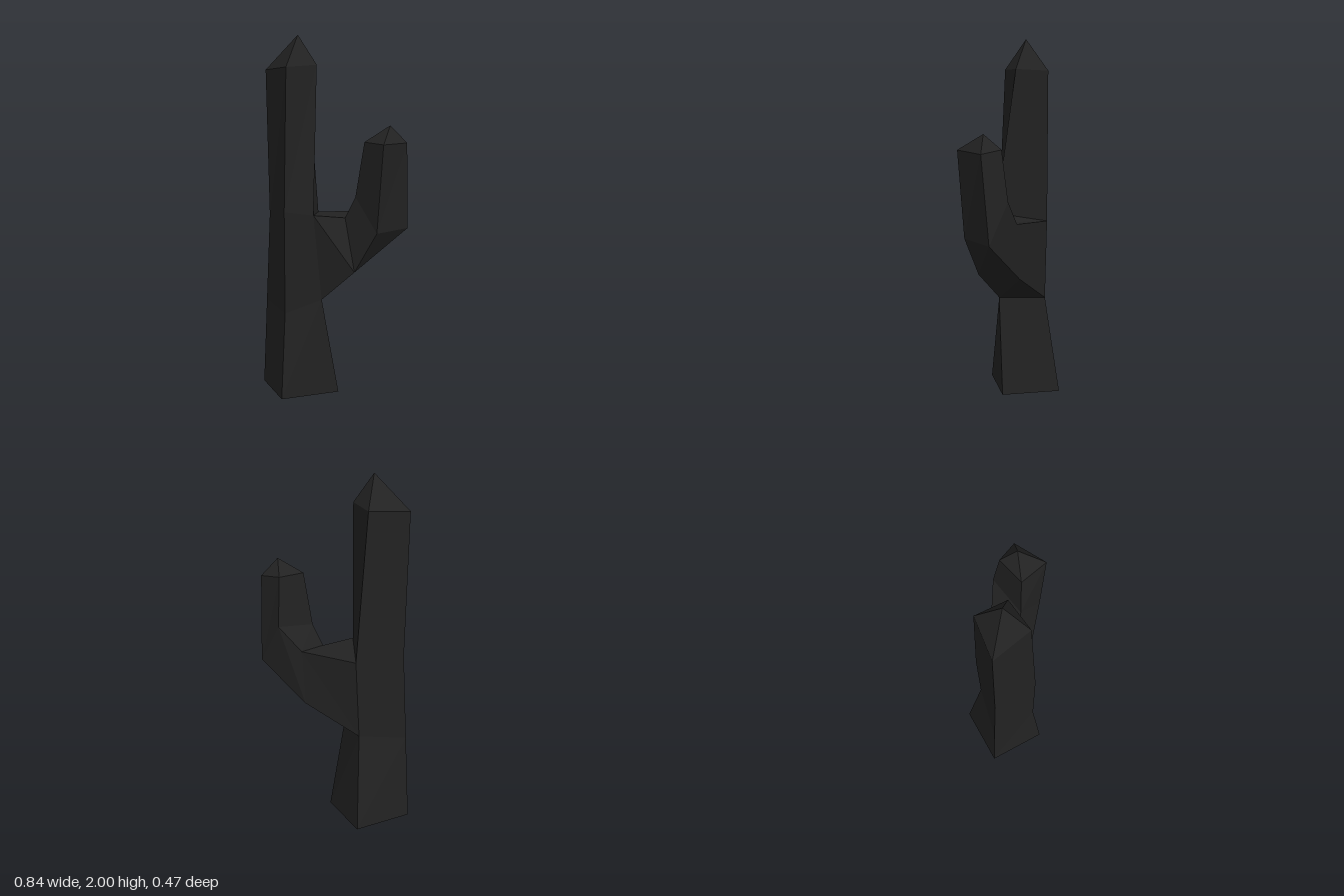
import * as THREE from 'three';

// Skin a list of four-cornered rings (left, front, right, back) into flat faces.
// skip(level, side) leaves a quad open; apex closes the tip with a pyramid.
function skinRings(rings, apex, skip = () => false) {
  const pos = [];
  const tri = (...pts) => pts.forEach((p) => pos.push(...p));
  for (let level = 0; level < rings.length - 1; level++) {
    const lower = rings[level], upper = rings[level + 1];
    for (let i = 0; i < 4; i++) {
      if (skip(level, i)) continue;
      const j = (i + 1) % 4;
      tri(lower[i], lower[j], upper[j]);
      tri(lower[i], upper[j], upper[i]);
    }
  }
  const top = rings[rings.length - 1];
  for (let i = 0; i < 4; i++) tri(top[i], top[(i + 1) % 4], apex);
  const geo = new THREE.BufferGeometry();
  geo.setAttribute('position', new THREE.Float32BufferAttribute(pos, 3));
  geo.computeVertexNormals();
  return geo;
}

export function createModel() {
  const group = new THREE.Group();
  group.name = 'cactus';
  const skin = new THREE.MeshStandardMaterial({
    color: 0x222222, flatShading: true, side: THREE.DoubleSide,
  });
  skin.name = 'charcoal';

  // Trunk, open at the foot
  const trunkRings = [
    [[-0.42, 0, -0.03], [-0.22, 0, 0.235], [0.05, 0, 0.03], [-0.15, 0, -0.235]],
    [[-0.395, 0.5, -0.025], [-0.215, 0.48, 0.18], [-0.03, 0.55, 0.09], [-0.143, 0.55, -0.145]],
    [[-0.37, 1.0, -0.02], [-0.215, 1.05, 0.18], [-0.065, 1.03, 0.127], [-0.125, 1.0, -0.163]],
    [[-0.385, 1.81, -0.02], [-0.212, 1.83, 0.14], [-0.08, 1.84, 0.01], [-0.18, 1.83, -0.14]],
  ];
  // The side facing the arm stays open where the arm joins
  const trunk = new THREE.Mesh(
    skinRings(trunkRings, [-0.19, 2, 0], (level, side) => level === 1 && side === 2), skin);
  trunk.name = 'trunk';
  group.add(trunk);

  // Arm grows out of the opening and bends upward
  const [, low, mid] = trunkRings;
  const armRings = [
    [mid[2], low[2], low[3], mid[3]],
    [[0.09, 1.01, 0.04], [0.165, 0.725, 0.12], [0.162, 0.725, -0.13], [0.18, 1.03, -0.122]],
    [[0.15, 1.13, 0.047], [0.293, 0.95, 0.137], [0.417, 0.95, -0.075], [0.305, 1.17, -0.13]],
    [[0.197, 1.43, 0.04], [0.33, 1.43, 0.155], [0.417, 1.425, -0.03], [0.303, 1.44, -0.092]],
  ];
  const arm = new THREE.Mesh(skinRings(armRings, [0.33, 1.52, 0]), skin);
  arm.name = 'arm';
  group.add(arm);

  return group;
}
